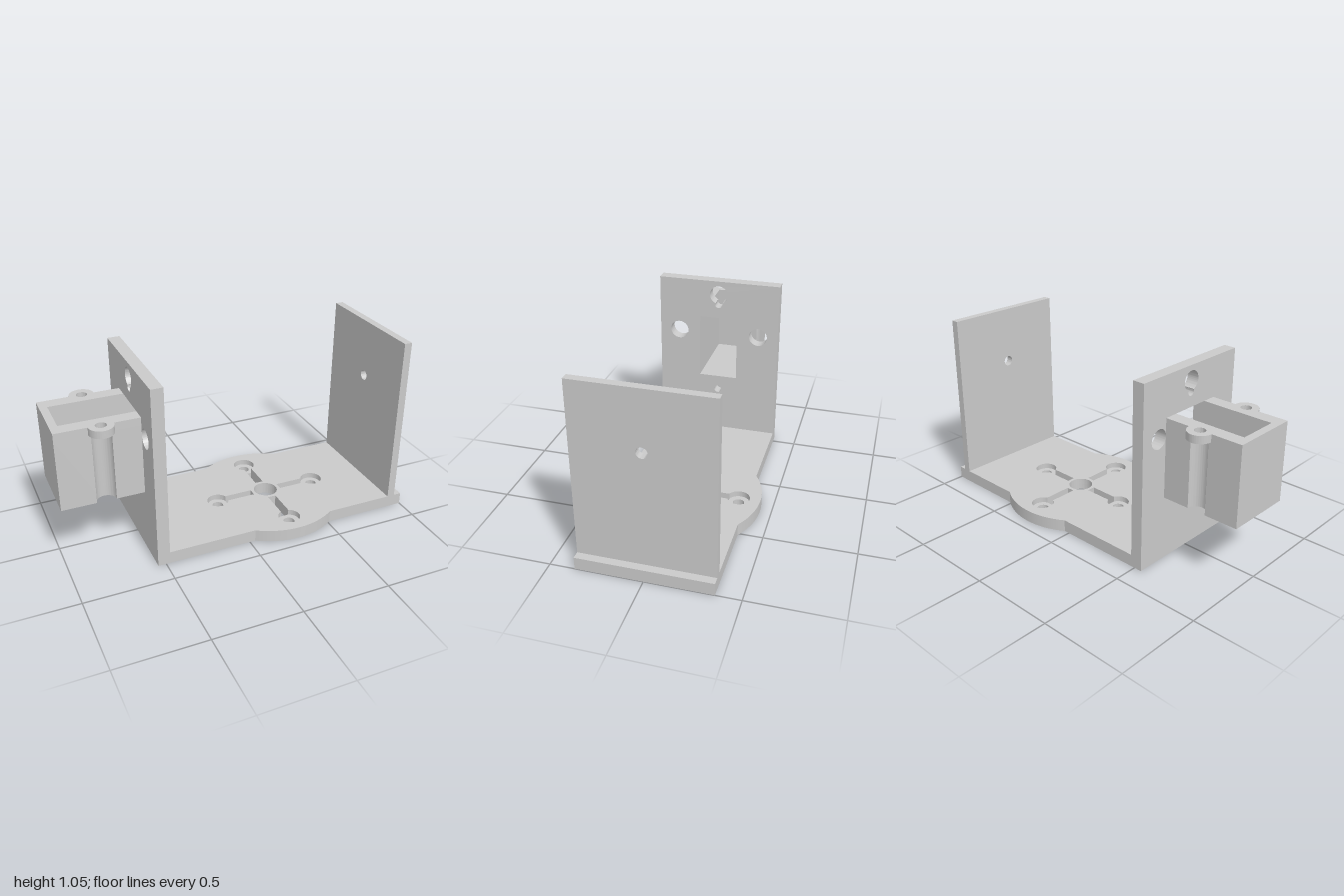
import * as THREE from 'three';
import { toCreasedNormals } from 'three/addons/utils/BufferGeometryUtils.js';

const grey = new THREE.MeshStandardMaterial({ color: 0xcacaca });
grey.name = 'grey';

const polygon = (pts, Type = THREE.Shape) => new Type(pts.map(([x, y]) => new THREE.Vector2(x, y)));
const rect = (x0, y0, x1, y1, Type) => polygon([[x0, y0], [x1, y0], [x1, y1], [x0, y1]], Type);
const circle = (x, y, r) => new THREE.Path().absarc(x, y, r, 0, Math.PI * 2);

function extrude(name, shape, depth) {
  const geo = new THREE.ExtrudeGeometry(shape, { depth, bevelEnabled: false, curveSegments: 32 });
  const mesh = new THREE.Mesh(geo, grey);
  mesh.name = name;
  return mesh;
}

// Horizontal plate: shape drawn in plan, raised from y0 to y1
function plate(name, shape, y0, y1) {
  const mesh = extrude(name, shape, y1 - y0);
  mesh.geometry = toCreasedNormals(mesh.geometry.rotateX(-Math.PI / 2).translate(0, y0, 0), 0.4);
  return mesh;
}

// Upright plate: shape drawn in side elevation, running from x0 to x1
function wall(name, shape, x0, x1) {
  const mesh = extrude(name, shape, x1 - x0);
  mesh.geometry = toCreasedNormals(mesh.geometry.rotateY(Math.PI / 2).translate(x0, 0, 0), 0.4);
  return mesh;
}

// Base plate: strip with a round bulge and a cross of slots and screw holes
const WALL_IN = -0.476, CX = 0.273, HALF = 0.365;
const ARM = 0.314, BORE = 0.063, SLOT = 0.024, SLOT_IN = 0.088;
const SLOT_OUT = ARM - Math.sqrt(BORE * BORE - SLOT * SLOT);

function baseShape(counterbored) {
  const R = 0.437, a = Math.asin(HALF / R);
  const s = new THREE.Shape();
  s.absarc(CX, 0, R, a - Math.PI, -a, false);
  s.lineTo(1, -HALF);
  s.lineTo(1, HALF);
  s.absarc(CX, 0, R, a, Math.PI - a, false);
  s.lineTo(WALL_IN, HALF);
  s.lineTo(WALL_IN, -HALF);
  s.holes.push(circle(CX, 0, 0.07));
  for (let i = 0; i < 4; i++) {
    const t = i * Math.PI / 2, c = Math.cos(t), n = Math.sin(t);
    const at = (u, v) => [CX + u * c - v * n, u * n + v * c];
    if (counterbored) {
      // slot running into the wide screw-head recess
      const b = Math.asin(SLOT / BORE);
      const key = new THREE.Path();
      key.absarc(...at(ARM, 0), BORE, t - Math.PI + b, t + Math.PI - b, false);
      key.lineTo(...at(SLOT_IN, SLOT));
      key.lineTo(...at(SLOT_IN, -SLOT));
      s.holes.push(key);
    } else {
      s.holes.push(circle(...at(ARM, 0), 0.032));
      s.holes.push(polygon([at(SLOT_IN, -SLOT), at(SLOT_OUT, -SLOT), at(SLOT_OUT, SLOT), at(SLOT_IN, SLOT)], THREE.Path));
    }
  }
  return s;
}

// Tall wall with the motor window, round holes and screw holes
function windowWallShape() {
  const s = rect(-HALF, 0, HALF, 1.05);
  s.holes.push(rect(-0.115, 0.43, 0.115, 0.82, THREE.Path));
  for (const side of [-1, 1]) s.holes.push(circle(side * 0.245, 0.72, 0.055));
  s.holes.push(circle(0, 0.34, 0.022));
  // large top hole merged with a small screw hole below it
  const R = 0.055, r = 0.022, d = 0.06, y = 0.965;
  const a = (d * d + R * R - r * r) / (2 * d), h = Math.sqrt(R * R - a * a);
  const b = Math.atan2(h, a), k = d - a;
  const key = new THREE.Path();
  key.absarc(0, y, R, b - Math.PI / 2, Math.PI * 1.5 - b, false);
  key.absarc(0, y - d, r, Math.atan2(k, -h), Math.atan2(k, h) + Math.PI * 2, false);
  s.holes.push(key);
  return s;
}

// Side box plan: inward grooves or outward ears, optionally hollowed and open to the wall
function boxShape(r, grooved, hollow) {
  const X0 = -1, X1 = -0.545, W = 0.192, EX = -0.755, IN = 0.115;
  const s = new THREE.Shape();
  s.absarc(EX, -W, r, Math.PI, grooved ? 0 : Math.PI * 2, grooved);
  s.lineTo(X1, -W);
  if (hollow) for (const p of [[X1, -IN], [-0.957, -IN], [-0.957, IN], [X1, IN]]) s.lineTo(...p);
  s.lineTo(X1, W);
  s.absarc(EX, W, r, 0, grooved ? -Math.PI : Math.PI, grooved);
  s.lineTo(X0, W);
  s.lineTo(X0, -W);
  if (!grooved) for (const side of [-1, 1]) s.holes.push(circle(EX, side * W, 0.03));
  return s;
}

export function createModel() {
  const model = new THREE.Group();
  model.name = 'motorBracket';

  const base = new THREE.Group();
  base.name = 'basePlate';
  base.add(
    plate('baseLower', baseShape(false), 0, 0.037),
    plate('baseUpper', baseShape(true), 0.037, 0.07),
  );

  const endWall = rect(-HALF, 0.07, HALF, 1.05);
  endWall.holes.push(circle(0, 0.717, 0.03));

  const box = new THREE.Group();
  box.name = 'sideBox';
  box.add(
    plate('boxFloor', boxShape(0.054, true, false), 0.37, 0.43),
    plate('boxWalls', boxShape(0.054, true, true), 0.43, 0.777),
    plate('boxRimWithEars', boxShape(0.068, false, true), 0.777, 0.82),
  );

  model.add(
    base,
    wall('windowWall', windowWallShape(), -0.545, WALL_IN),
    wall('endWall', endWall, 0.91, 0.955),
    box,
  );
  return model;
}
